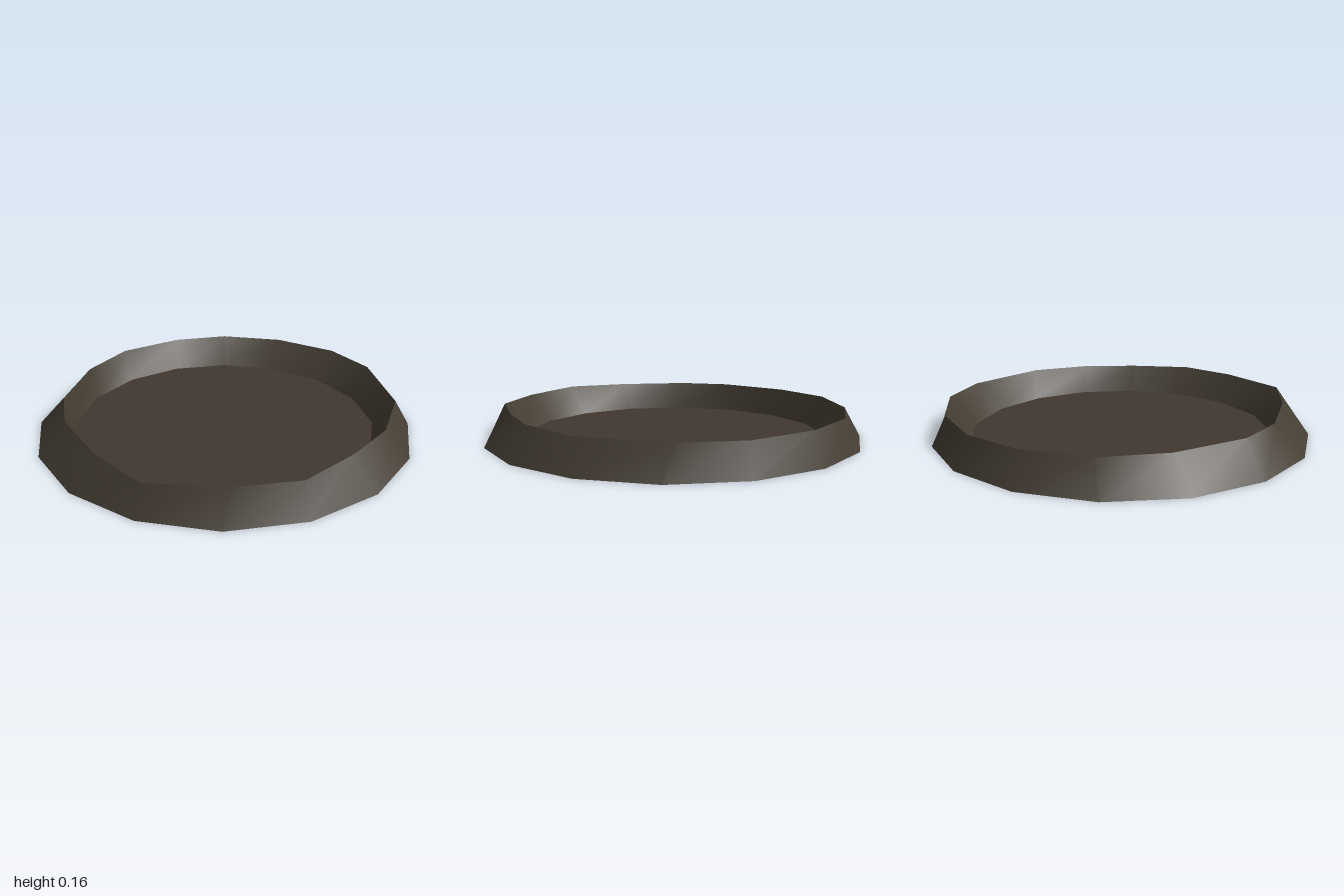
import * as THREE from 'three';

const SIDES = 16;
const TOP = 0.16;
const FLOOR = 0.005;

// Regular ring of points at height y, running from +x towards +z
function ring(radius, y) {
  return Array.from({ length: SIDES }, (_, i) => {
    const a = (i / SIDES) * Math.PI * 2;
    return [Math.cos(a) * radius, y, Math.sin(a) * radius];
  });
}

// Closed smooth band joining two rings
function band(from, to) {
  const index = [];
  for (let i = 0; i < SIDES; i++) {
    const j = (i + 1) % SIDES;
    index.push(i, SIDES + i, j, j, SIDES + i, SIDES + j);
  }
  const geometry = new THREE.BufferGeometry();
  geometry.setAttribute('position', new THREE.Float32BufferAttribute([...from, ...to].flat(), 3));
  geometry.setIndex(index);
  geometry.computeVertexNormals();
  return geometry;
}

export function createModel() {
  const rimBrown = new THREE.MeshStandardMaterial({ color: 0x443d33 });
  rimBrown.name = 'rimBrown';
  const floorBrown = new THREE.MeshStandardMaterial({ color: 0x40372f });
  floorBrown.name = 'floorBrown';

  const model = new THREE.Group();
  model.name = 'shallowDish';
  const add = (name, geometry, material) => {
    const mesh = new THREE.Mesh(geometry, material);
    mesh.name = name;
    model.add(mesh);
  };

  // Uneven crest of the raised rim, as x and z
  const crest = [
    [0.877, 0.048], [0.791, 0.342], [0.652, 0.647], [0.385, 0.818],
    [0.01, 0.941], [-0.3, 0.807], [-0.62, 0.583], [-0.781, 0.353],
    [-0.866, -0.037], [-0.824, -0.37], [-0.615, -0.668], [-0.358, -0.85],
    [-0.01, -0.925], [0.353, -0.872], [0.615, -0.7], [0.856, -0.3],
  ].map(([x, z]) => [x, TOP, z]);

  // Sloping rim, with a sharp crest between its two sides
  add('outerSlope', band(ring(1, 0), crest), rimBrown);
  add('innerSlope', band(crest, ring(0.805, FLOOR)), rimBrown);

  // Flat floor and underside
  add('floor', new THREE.CircleGeometry(0.805, SIDES).rotateX(-Math.PI / 2).translate(0, FLOOR, 0), floorBrown);
  add('underside', new THREE.CircleGeometry(1, SIDES).rotateX(Math.PI / 2), floorBrown);

  return model;
}
